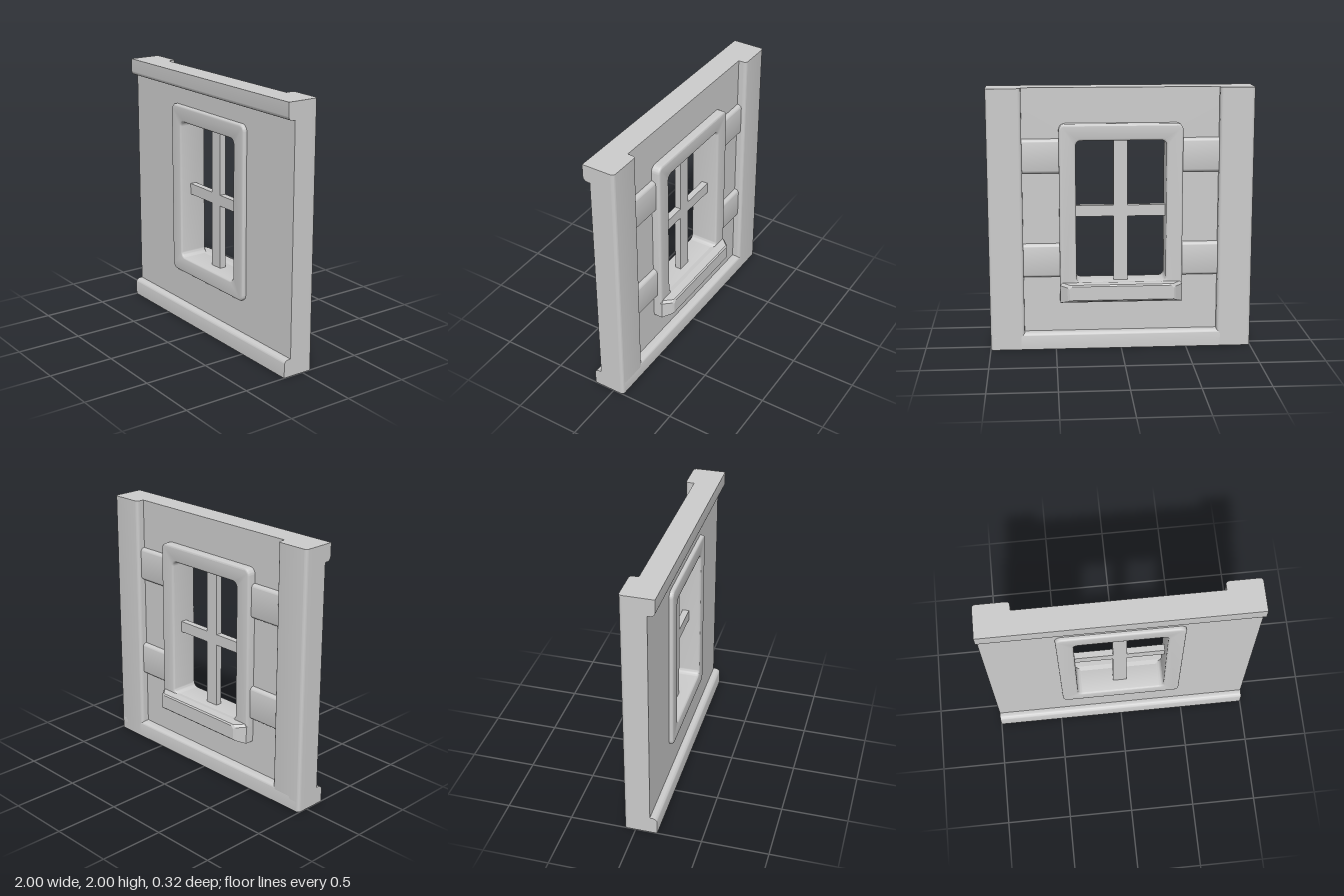
import * as THREE from 'three';
import { toCreasedNormals } from 'three/addons/utils/BufferGeometryUtils.js';
import { ConvexGeometry } from 'three/addons/geometries/ConvexGeometry.js';

const material = new THREE.MeshStandardMaterial({ color: 0xcccccc });
const X = new THREE.Vector3(1, 0, 0);
const Y = new THREE.Vector3(0, 1, 0);
const FRONT = new THREE.Vector3(0, 0, 1);
const BACK = new THREE.Vector3(0, 0, -1);

// Closed rounded rectangle, usable as an outline or a hole
function roundedRect(Type, x0, y0, x1, y1, r) {
  const s = new Type();
  s.moveTo(x0 + r, y0);
  s.lineTo(x1 - r, y0);
  s.absarc(x1 - r, y0 + r, r, -Math.PI / 2, 0);
  s.lineTo(x1, y1 - r);
  s.absarc(x1 - r, y1 - r, r, 0, Math.PI / 2);
  s.lineTo(x0 + r, y1);
  s.absarc(x0 + r, y1 - r, r, Math.PI / 2, Math.PI);
  s.lineTo(x0, y0 + r);
  s.absarc(x0 + r, y0 + r, r, Math.PI, Math.PI * 1.5);
  return s;
}

// Strip of width w and depth d with rounded outer edges, swept along u x v
function strip(w, d, rStart, rEnd, length, u, v, origin) {
  const s = new THREE.Shape();
  s.moveTo(0, 0);
  s.lineTo(w, 0);
  s.lineTo(w, d - rEnd);
  if (rEnd) s.absarc(w - rEnd, d - rEnd, rEnd, 0, Math.PI / 2);
  s.lineTo(rStart, d);
  if (rStart) s.absarc(rStart, d - rStart, rStart, Math.PI / 2, Math.PI);
  s.lineTo(0, 0);
  const geo = new THREE.ExtrudeGeometry(s, { depth: length, bevelEnabled: false, curveSegments: 6 });
  const basis = new THREE.Matrix4().makeBasis(u, v, new THREE.Vector3().crossVectors(u, v));
  geo.applyMatrix4(basis.setPosition(...origin));
  return toCreasedNormals(geo, 0.6);
}

export function createModel() {
  const model = new THREE.Group();
  const add = (name, geometry) => {
    const mesh = new THREE.Mesh(geometry, material);
    mesh.name = name;
    model.add(mesh);
    return mesh;
  };

  // Wall panel with a cut-out hidden behind the window frame
  const wall = new THREE.Shape();
  wall.moveTo(-1, 0);
  wall.lineTo(1, 0);
  wall.lineTo(1, 2);
  wall.lineTo(-1, 2);
  wall.closePath();
  wall.holes.push(roundedRect(THREE.Path, -0.4, 0.46, 0.4, 1.67, 0.04));
  const panel = new THREE.ExtrudeGeometry(wall, { depth: 0.13, bevelEnabled: false });
  add('wallPanel', panel.translate(0, 0, -0.02));

  // Front mouldings across the top and bottom
  add('cornice', strip(0.13, 0.055, 0.035, 0, 2, Y, FRONT, [-1, 1.87, 0.11]));
  add('plinth', strip(0.135, 0.055, 0, 0.035, 2, Y, FRONT, [-1, 0, 0.11]));

  // Back posts, bottom rail and short cross boards
  add('rightPost', strip(0.26, 0.065, 0.025, 0.025, 2, X, BACK, [-1, 0, -0.02]));
  add('leftPost', strip(0.26, 0.065, 0.025, 0.025, 2, X, BACK, [0.74, 0, -0.02]));
  add('bottomRail', strip(0.13, 0.065, 0, 0.03, 1.94, Y, BACK, [0.97, 0, -0.02]));
  for (const y of [0.56, 1.36]) {
    add('leftBoard', strip(0.26, 0.035, 0.03, 0.03, 0.31, Y, BACK, [0.75, y, -0.02]));
    add('rightBoard', strip(0.26, 0.035, 0.03, 0.03, 0.31, Y, BACK, [-0.44, y, -0.02]));
  }

  // Window frame running through the wall
  const bevel = 0.015;
  const outline = roundedRect(THREE.Shape, -0.465, 0.395, 0.465, 1.735, 0.05);
  outline.holes.push(roundedRect(THREE.Path, -0.34, 0.52, 0.34, 1.61, 0.04));
  const frame = new THREE.ExtrudeGeometry(outline, {
    depth: 0.225 - 2 * bevel, bevelThickness: bevel, bevelSize: bevel,
    bevelOffset: -bevel, bevelSegments: 3, curveSegments: 6,
  });
  add('windowFrame', toCreasedNormals(frame.translate(0, 0, -0.085 + bevel), 0.6));

  // Glazing bars
  const upright = new THREE.BoxGeometry(0.105, 1.11, 0.05);
  add('uprightBar', upright.translate(0, 1.065, 0.025));
  const cross = new THREE.BoxGeometry(0.7, 0.085, 0.05);
  add('crossBar', cross.translate(0, 1.0625, 0.025));

  // Sill on the back, tapering outward: half width, bottom, top, z
  const points = [];
  const sections = [
    [0.465, 0.37, 0.515, -0.02],
    [0.465, 0.37, 0.525, -0.09],
    [0.41, 0.395, 0.522, -0.15],
    [0.395, 0.405, 0.512, -0.16],
  ];
  for (const [w, y0, y1, z] of sections) {
    for (const side of [-1, 1]) {
      points.push(new THREE.Vector3(side * w, y0, z));
      points.push(new THREE.Vector3(side * w, y1 - 0.02, z));
      points.push(new THREE.Vector3(side * (w - 0.02), y1, z));
    }
  }
  add('windowSill', new ConvexGeometry(points));

  return model;
}
